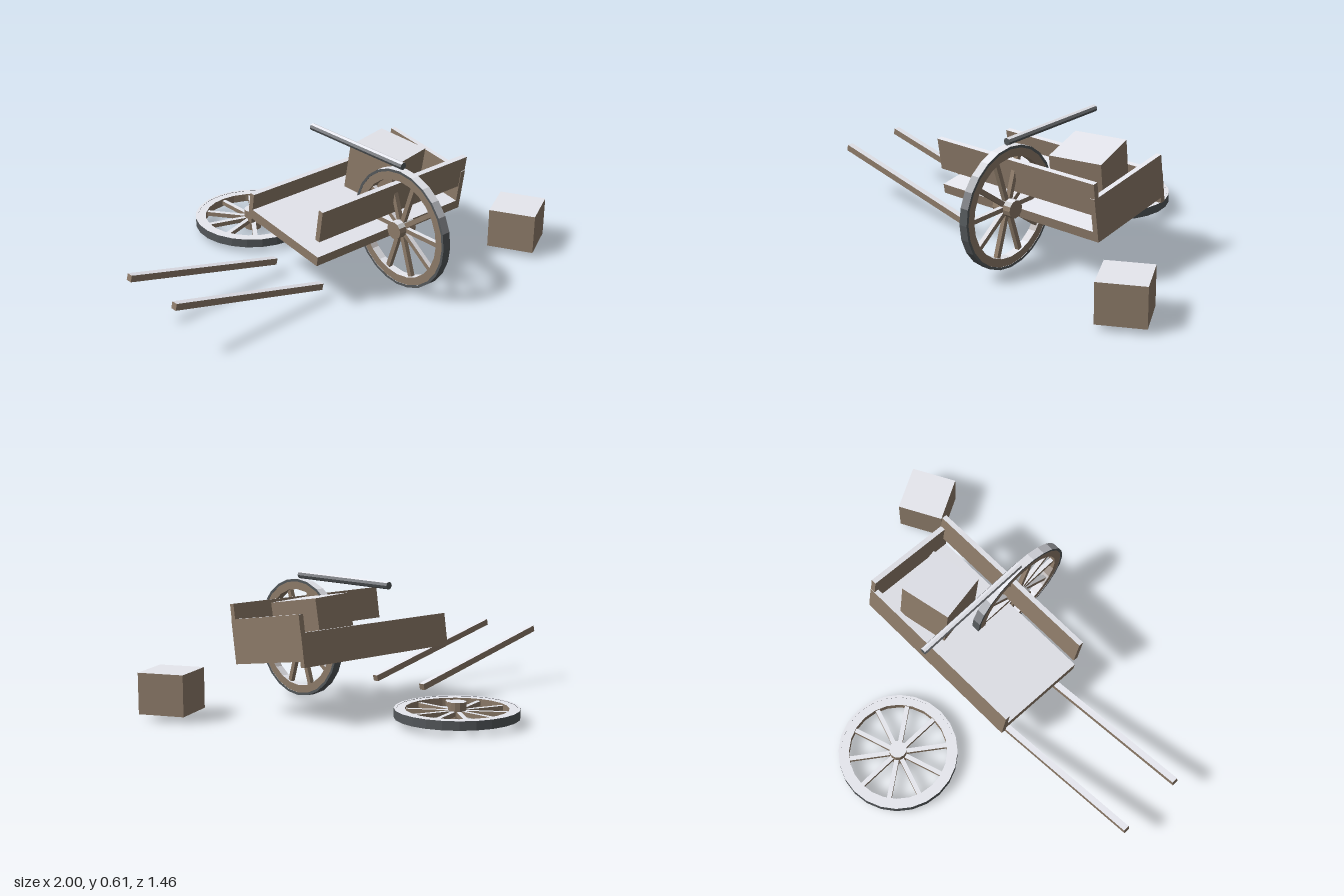
import * as THREE from 'three';

const WOOD = 0x8c7a68, IRON = 0x53575a, SNOW = 0xe6e7ee;
const LEVELS = 6; // steps from bare to fully snow-covered

// Materials of one base colour with growing snow cover
function snowRamp(base) {
  return Array.from({ length: LEVELS + 1 }, (_, i) => new THREE.MeshStandardMaterial({
    color: new THREE.Color(base).lerp(new THREE.Color(SNOW), i / LEVELS), flatShading: true,
  }));
}

function add(parent, name, geometry, ramp, x = 0, y = 0, z = 0) {
  const mesh = new THREE.Mesh(geometry, ramp[0]);
  mesh.name = name;
  mesh.userData.ramp = ramp;
  mesh.position.set(x, y, z);
  parent.add(mesh);
  return mesh;
}

// Box given by its minimum and maximum on each axis
function board(parent, name, ramp, [x0, x1], [y0, y1], [z0, z1]) {
  return add(parent, name, new THREE.BoxGeometry(x1 - x0, y1 - y0, z1 - z0), ramp,
    (x0 + x1) / 2, (y0 + y1) / 2, (z0 + z1) / 2);
}

// Ring of rectangular section around y
function ring(inner, outer, width) {
  const h = width / 2;
  const profile = [[inner, -h], [outer, -h], [outer, h], [inner, h], [inner, -h]]
    .map(([r, y]) => new THREE.Vector2(r, y));
  return new THREE.LatheGeometry(profile, 24);
}

// Wheel lying flat, axle along y
function makeWheel(name, wood, iron) {
  const wheel = new THREE.Group();
  wheel.name = name;
  add(wheel, 'rim', ring(0.23, 0.268, 0.038), wood);
  add(wheel, 'ironTyre', ring(0.267, 0.279, 0.041), iron);
  add(wheel, 'hub', new THREE.CylinderGeometry(0.041, 0.041, 0.098, 12), wood);
  for (let i = 0; i < 10; i++) {
    const a = (i / 10) * Math.PI * 2;
    const spoke = add(wheel, 'spoke', new THREE.BoxGeometry(0.021, 0.021, 0.21), wood,
      Math.sin(a) * 0.135, 0, Math.cos(a) * 0.135);
    spoke.rotation.y = a;
  }
  return wheel;
}

// Split a mesh by how far its faces look upward, and whiten the upper ones
function coverWithSnow(mesh) {
  const { ramp } = mesh.userData;
  const position = mesh.geometry.toNonIndexed().getAttribute('position');
  const buckets = ramp.map(() => []);
  const corners = [0, 1, 2].map(() => new THREE.Vector3());
  const triangle = new THREE.Triangle(), normal = new THREE.Vector3();
  for (let i = 0; i < position.count; i += 3) {
    corners.forEach((c, k) => c.fromBufferAttribute(position, i + k));
    triangle.set(...corners).getNormal(normal).transformDirection(mesh.matrixWorld);
    const level = Math.round(THREE.MathUtils.smoothstep(normal.y, 0.25, 0.95) * LEVELS);
    corners.forEach((c) => buckets[level].push(c.x, c.y, c.z));
  }
  buckets.forEach((points, level) => {
    if (!points.length) return;
    const geometry = new THREE.BufferGeometry();
    geometry.setAttribute('position', new THREE.Float32BufferAttribute(points, 3));
    geometry.computeVertexNormals();
    const part = new THREE.Mesh(geometry, ramp[level]);
    part.name = level ? mesh.name + 'Snow' : mesh.name;
    part.position.copy(mesh.position);
    part.quaternion.copy(mesh.quaternion);
    mesh.parent.add(part);
  });
  mesh.removeFromParent();
}

export function createModel() {
  const wood = snowRamp(WOOD), iron = snowRamp(IRON);
  const model = new THREE.Group();
  model.name = 'brokenCart';

  // Tilted cart bed with its loosened side boards
  const bed = new THREE.Group();
  bed.name = 'cartBed';
  bed.rotation.x = 0.15;
  model.add(bed);
  board(bed, 'floor', wood, [-0.29, 0.575], [0.282, 0.327], [-0.11, 0.342]);
  board(bed, 'endBoard', wood, [0.572, 0.597], [0.282, 0.485], [-0.128, 0.342]);
  board(bed, 'frontSideBoard', wood, [-0.29, 0.597], [0.405, 0.555], [0.314, 0.339]);
  board(bed, 'backSideBoard', wood, [-0.29, 0.597], [0.255, 0.405], [-0.13, -0.105]);

  // Crate still on the bed
  const cargo = add(model, 'loadedCrate', new THREE.BoxGeometry(0.25, 0.22, 0.25), wood, 0.35, 0.422, 0.133);
  cargo.rotation.set(0.15, 0.2, 0, 'YXZ');

  // Crate fallen beside the cart
  const fallen = add(model, 'fallenCrate', new THREE.BoxGeometry(0.218, 0.187, 0.218), wood, 0.85, 0.122, 0.526);
  fallen.rotation.y = 0.487;

  // Standing wheel and the one lying on the ground
  const standing = makeWheel('standingWheel', wood, iron);
  standing.position.set(0.152, 0.296, 0.451);
  standing.rotation.z = Math.PI / 2;
  const flat = makeWheel('fallenWheel', wood, iron);
  flat.position.set(0.029, 0.049, -0.452);
  model.add(standing, flat);

  // Loose axle rod
  const axle = add(model, 'axle', new THREE.CylinderGeometry(0.017, 0.017, 0.6, 8), iron, 0.152, 0.593, 0.15);
  axle.rotation.x = Math.PI / 2;

  // Pair of detached pulling shafts
  for (const z of [-0.008, 0.308]) {
    const shaft = add(model, 'shaft', new THREE.BoxGeometry(0.82, 0.03, 0.03), wood, -0.6, 0.168, z);
    shaft.rotation.z = -0.242;
  }

  // Snow on everything that faces up
  model.updateMatrixWorld(true);
  const meshes = [];
  model.traverse((o) => o.isMesh && meshes.push(o));
  meshes.forEach(coverWithSnow);
  return model;
}
